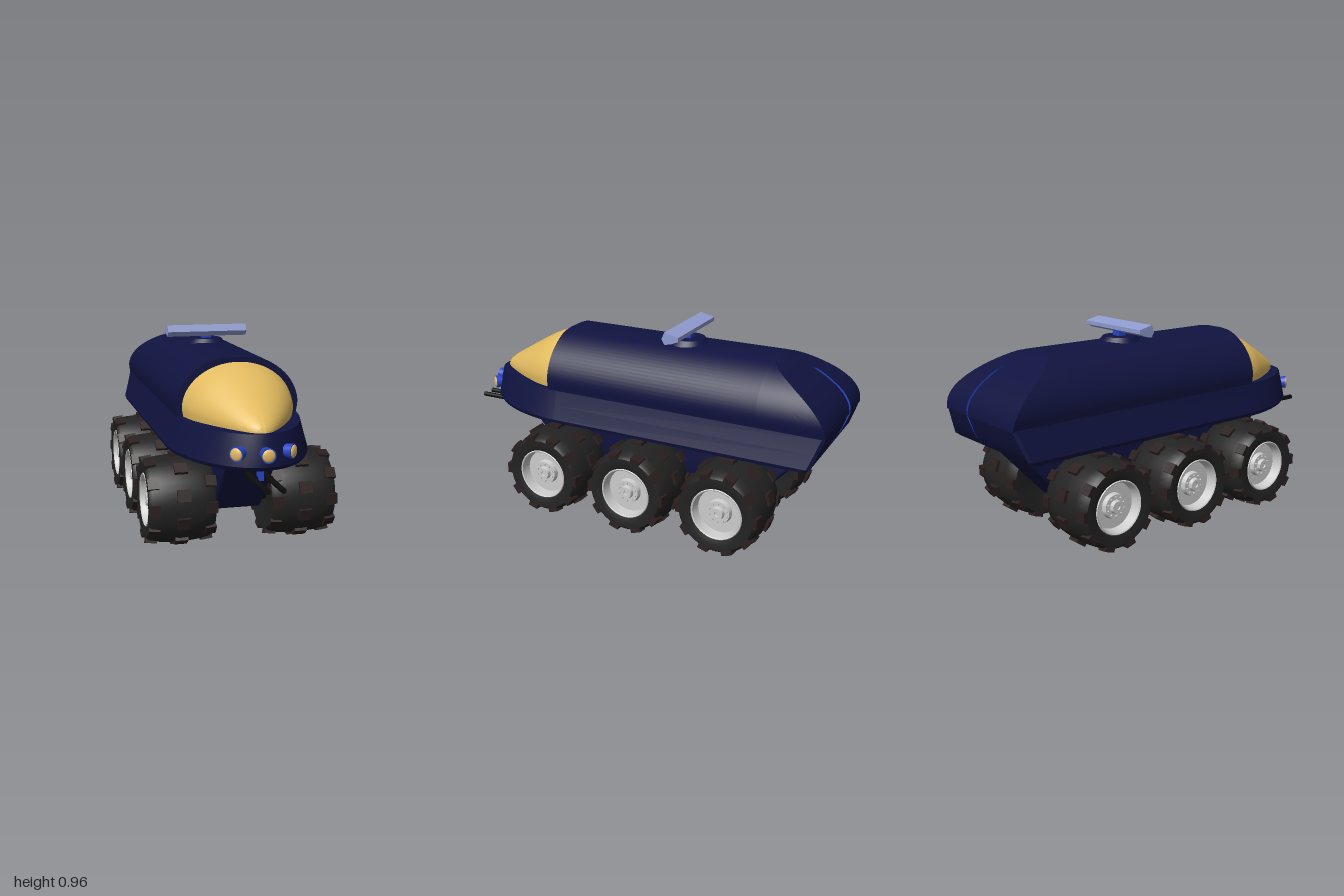
import * as THREE from 'three';
import { toCreasedNormals } from 'three/addons/utils/BufferGeometryUtils.js';

const mat = (color) => new THREE.MeshStandardMaterial({ color });
const NAVY = mat(0x10133f), BLUE = mat(0x2545c8), GOLD = mat(0xe2bb60), BAR = mat(0x8f9bd0);
const RUBBER = mat(0x222222), TREAD = mat(0x2b1f1f), BLACK = mat(0x0c0c0c), GREY = mat(0xcccccc);

function add(parent, name, geometry, material, x = 0, y = 0, z = 0) {
  const mesh = new THREE.Mesh(geometry, material);
  mesh.name = name;
  mesh.position.set(x, y, z);
  parent.add(mesh);
  return mesh;
}

// Skin a stack of closed rings, with fan caps at both ends
function loft(rings, crease = 0.6) {
  const n = rings[0].length, pos = rings.flat(), idx = [];
  for (let j = 0; j < rings.length - 1; j++) {
    for (let i = 0; i < n; i++) {
      const a = j * n + i, b = j * n + (i + 1) % n;
      idx.push(a, b, b + n, a, b + n, a + n);
    }
  }
  [0, rings.length - 1].forEach((j) => {
    const c = pos.length;
    pos.push([0, 1, 2].map((k) => rings[j].reduce((s, p) => s + p[k], 0) / n));
    for (let i = 0; i < n; i++) {
      const a = j * n + i, b = j * n + (i + 1) % n;
      idx.push(c, j ? a : b, j ? b : a);
    }
  });
  const g = new THREE.BufferGeometry();
  g.setAttribute('position', new THREE.Float32BufferAttribute(pos.flat(), 3));
  g.setIndex(idx);
  return toCreasedNormals(g, crease);
}

// Piecewise linear lookup in a list of [key, value]
function lerpTable(table, k) {
  for (let i = 1; i < table.length; i++) {
    const [a, va] = table[i - 1], [b, vb] = table[i];
    if (k <= b) return va + (vb - va) * Math.max(0, (k - a) / (b - a));
  }
  return table[table.length - 1][1];
}

// Smooth curve through control points, sampled evenly
const smooth = (pts, n) => new THREE.CatmullRomCurve3(pts.map((p) => new THREE.Vector3(...p))).getPoints(n);

// Lathe about the x axis
const latheX = (pts, seg = 40) => toCreasedNormals(
  new THREE.LatheGeometry(pts.map((p) => new THREE.Vector2(...p)), seg).rotateZ(-Math.PI / 2), 0.6);

// Horizontal belt outline: square tail, rounded pointed nose
function beltRing(y, w, front, back) {
  const half = [];
  for (let i = 0; i <= 16; i++) {
    const t = Math.cos((i / 16) * Math.PI / 2);
    half.push([w * Math.sqrt(Math.max(0, 1 - t ** 1.7)), y, 0.36 + (front - 0.36) * t]);
  }
  half.push([w, y, back + 0.015], [w - 0.012, y, back]);
  return [...half, ...half.slice(1).reverse().map(([x, yy, z]) => [-x, yy, z])];
}

function bodyGeometry() {
  const width = smooth([[0.61, 0.283, 0], [0.66, 0.29, 0], [0.7, 0.284, 0], [0.74, 0.268, 0], [0.78, 0.242, 0],
    [0.82, 0.2, 0], [0.85, 0.153, 0], [0.867, 0.11, 0], [0.875, 0.05, 0]], 48).map((p) => [p.x, p.y]);
  const tail = smooth([[-1, 0.612, 0], [-0.992, 0.65, 0], [-0.96, 0.702, 0], [-0.9, 0.755, 0],
    [-0.8, 0.815, 0], [-0.68, 0.875, 0]], 24).map((p) => [p.x, p.y]);
  // The tail roof slices the rounded section off flat
  return loft([...tail, [0.41, 0.875]].map(([z, cap]) => {
    const half = [];
    for (let i = 0; i <= 24; i++) {
      const y = 0.605 + (cap - 0.605) * Math.sin((i / 24) * Math.PI / 2);
      half.push([lerpTable(width, y), y, z]);
    }
    return [...half, ...half.slice().reverse().map(([x, y, zz]) => [-x, y, zz])];
  }), 0.5);
}

function canopyGeometry() {
  const line = smooth([[0.405, 0.855, 0.262], [0.5, 0.83, 0.238], [0.6, 0.777, 0.19], [0.7, 0.718, 0.13],
    [0.78, 0.668, 0.072], [0.815, 0.64, 0.038], [0.83, 0.612, 0.004]], 28);
  return loft(line.map(({ x: z, y: top, z: w }) => {
    const ring = [[w * 0.97, 0.605, z]];
    for (let i = 0; i <= 32; i++) {
      const a = (i / 32) * Math.PI;
      ring.push([w * Math.cos(a), 0.605 + (top - 0.605) * (0.17 + 0.83 * Math.sin(a)), z]);
    }
    return [...ring, [-w * 0.97, 0.605, z]];
  }), 0.9);
}

// Extrude a z-y side profile across x, centred
function sideExtrude(pts, width, bevel) {
  const shape = new THREE.Shape(pts.map(([z, y]) => new THREE.Vector2(-z, y)));
  const g = new THREE.ExtrudeGeometry(shape, { depth: width - 2 * bevel, bevelEnabled: bevel > 0,
    bevelSize: bevel, bevelThickness: bevel, bevelOffset: -bevel, bevelSegments: 3 });
  g.translate(0, 0, -(width / 2 - bevel)).rotateY(Math.PI / 2);
  return toCreasedNormals(g, 0.5);
}

function makeWheel() {
  const wheel = new THREE.Group();
  wheel.name = 'wheel';
  add(wheel, 'tyre', latheX([[0, -0.135], [0.11, -0.145], [0.15, -0.154], [0.178, -0.154], [0.19, -0.14],
    [0.199, -0.09], [0.207, 0], [0.199, 0.09], [0.19, 0.14], [0.178, 0.154], [0.15, 0.154], [0.126, 0.146]]), RUBBER);
  add(wheel, 'rim', latheX([[0.128, 0.142], [0.122, 0.15], [0.117, 0.147], [0.108, 0.1], [0.06, 0.1], [0.055, 0.122],
    [0.032, 0.122], [0.028, 0.14], [0.012, 0.14], [0.01, 0.134], [0, 0.134]]), GREY);
  const block = new THREE.BoxGeometry(0.06, 0.03, 0.055);
  const shoulder = new THREE.BoxGeometry(0.052, 0.036, 0.05);
  const bolt = new THREE.CylinderGeometry(0.005, 0.005, 0.012, 6).rotateZ(Math.PI / 2);
  for (let i = 0; i < 10; i++) {
    const spoke = new THREE.Group();
    spoke.name = 'treadRow';
    spoke.rotation.x = (i / 10) * Math.PI * 2;
    add(spoke, 'centreTread', block, TREAD, 0, 0.203, 0);
    add(spoke, 'hubBolt', bolt, GREY, 0.125, 0.044, 0);
    const offset = new THREE.Group();
    offset.name = 'shoulderTreads';
    offset.rotation.x = Math.PI / 10;
    for (const s of [-1, 1]) add(offset, 'shoulderTread', shoulder, TREAD, s * 0.129, 0.184, 0).rotation.z = -s * 0.12;
    spoke.add(offset);
    wheel.add(spoke);
  }
  return wheel;
}

function makeLamp() {
  const lamp = new THREE.Group();
  lamp.name = 'headlamp';
  add(lamp, 'lampHousing', new THREE.CylinderGeometry(0.033, 0.026, 0.06, 24).rotateX(Math.PI / 2), BLUE, 0, 0, -0.012);
  add(lamp, 'lampLens', new THREE.SphereGeometry(0.028, 24, 12).scale(1, 1, 0.35), GOLD, 0, 0, 0.018);
  return lamp;
}

// Rear hatch strip following the tail profile
function hatchGeometry() {
  const line = smooth([[0.04, 0.814, -0.808], [0.08, 0.805, -0.826], [0.092, 0.76, -0.897], [0.095, 0.705, -0.962],
    [0.095, 0.65, -0.996], [0.095, 0.61, -1], [0.093, 0.56, -0.985], [0.09, 0.5, -0.958], [0.07, 0.485, -0.952]], 36);
  return loft(line.map(({ x: w, y, z }) => [
    [w, y + 0.003, z - 0.004], [-w, y + 0.003, z - 0.004], [-w, y - 0.01, z + 0.03], [w, y - 0.01, z + 0.03]]));
}

export function createModel() {
  const model = new THREE.Group();
  model.name = 'sixWheeledRover';

  // Hull
  add(model, 'hullBelt', loft([beltRing(0.452, 0.305, 0.82, -0.9), beltRing(0.457, 0.32, 0.855, -0.925),
    beltRing(0.475, 0.326, 0.87, -0.95), beltRing(0.54, 0.305, 0.862, -0.975), beltRing(0.612, 0.285, 0.845, -1)]), NAVY);
  add(model, 'upperBody', bodyGeometry(), NAVY);
  add(model, 'canopy', canopyGeometry(), GOLD);
  add(model, 'rearHatch', hatchGeometry(), BLUE);
  add(model, 'chassis', sideExtrude([[0.69, 0.48], [0.42, 0.168], [-0.62, 0.168], [-0.91, 0.48]], 0.232, 0.018), NAVY);

  // Wheels and axles
  for (const z of [0.365, -0.1, -0.567]) {
    add(model, 'axle', new THREE.CylinderGeometry(0.035, 0.035, 0.32, 20).rotateZ(Math.PI / 2), BLACK, 0, 0.22, z);
    for (const s of [-1, 1]) {
      const wheel = makeWheel();
      wheel.position.set(s * 0.285, 0.22, z);
      if (s < 0) wheel.rotation.y = Math.PI;
      model.add(wheel);
    }
  }

  // Headlamps
  for (const s of [-1, 0, 1]) {
    const lamp = makeLamp();
    lamp.position.set(s * 0.112, 0.533, s ? 0.835 : 0.885);
    lamp.rotation.y = s * 0.8;
    model.add(lamp);
  }

  // Roof mount and sensor bar
  add(model, 'roofMount', toCreasedNormals(new THREE.CylinderGeometry(0.08, 0.105, 0.03, 32), 0.5), NAVY, 0, 0.879, -0.22);
  add(model, 'barPost', new THREE.BoxGeometry(0.046, 0.05, 0.04), BLUE, 0, 0.905, -0.22);
  add(model, 'sensorBar', sideExtrude([[-0.176, 0.93], [-0.19, 0.964], [-0.262, 0.947], [-0.262, 0.928],
    [-0.225, 0.912], [-0.192, 0.905]], 0.414, 0), BAR);

  // Twin rods under the nose
  add(model, 'rodTurret', new THREE.SphereGeometry(0.085, 24, 12).scale(1, 0.3, 0.6), NAVY, 0, 0.46, 0.76);
  add(model, 'rodMount', new THREE.BoxGeometry(0.024, 0.05, 0.03), BLUE, 0, 0.422, 0.78);
  add(model, 'rodBridge', new THREE.BoxGeometry(0.07, 0.012, 0.025), BLACK, 0, 0.408, 0.78);
  for (const s of [-1, 1]) {
    add(model, 'rod', new THREE.CylinderGeometry(0.012, 0.012, 0.3, 16).rotateX(Math.PI / 2), BLACK, s * 0.034, 0.41, 0.85);
    add(model, 'rodBreech', new THREE.CylinderGeometry(0.016, 0.016, 0.12, 16).rotateX(Math.PI / 2), BLACK, s * 0.034, 0.408, 0.76);
  }
  return model;
}
